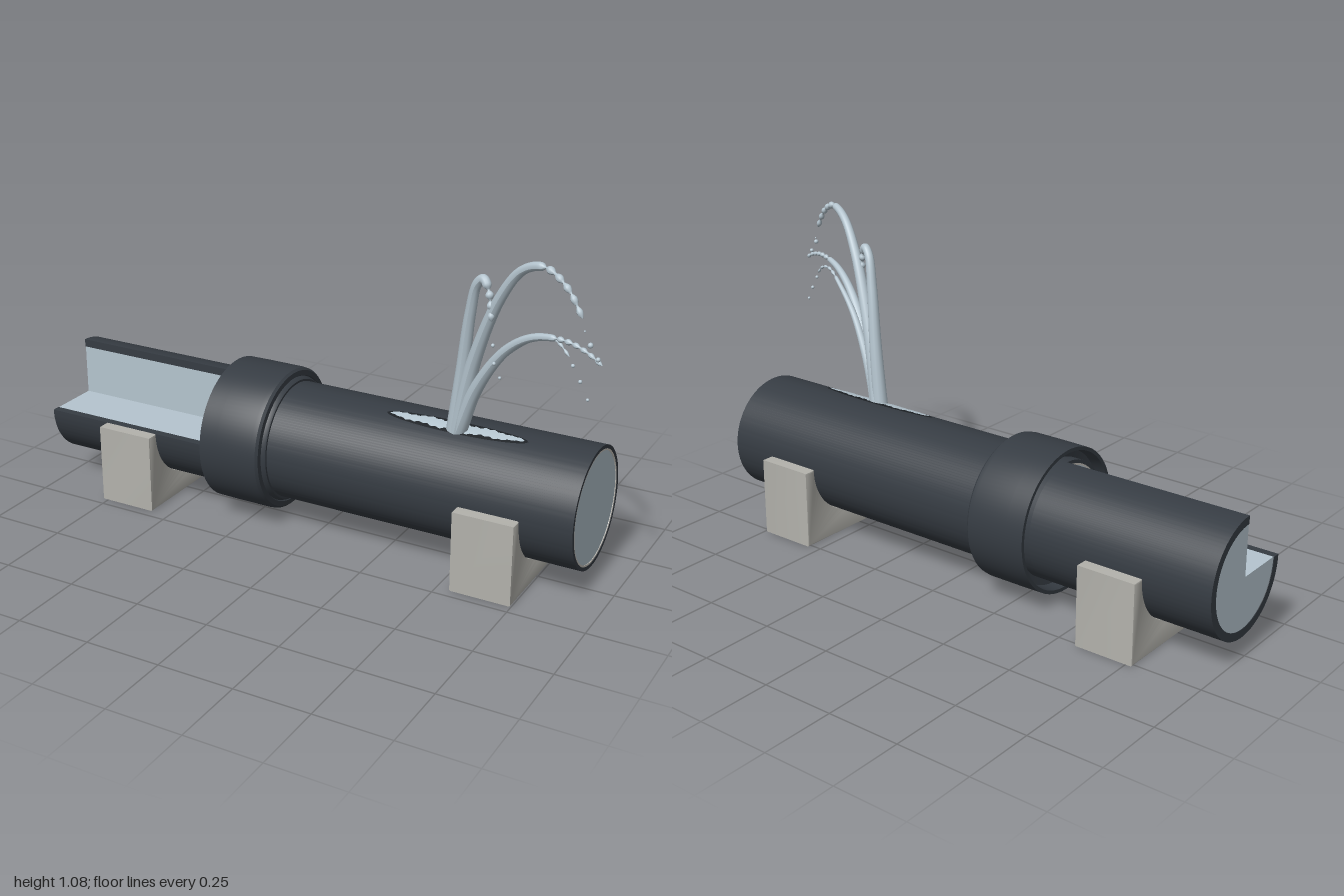
import * as THREE from 'three';
import { toCreasedNormals } from 'three/addons/utils/BufferGeometryUtils.js';

const CY = 0.27, CZ = -0.023, R = 0.197; // pipe axis and outer radius

function paint(name, color, side = THREE.FrontSide) {
  const m = new THREE.MeshStandardMaterial({ color, side });
  m.name = name;
  return m;
}

export function createModel() {
  const group = new THREE.Group();
  const dark = paint('dark pipe', 0x363c43);
  const black = paint('hole shadow', 0x1d2125, THREE.DoubleSide);
  const water = paint('water', 0xb5c5cf);
  const film = paint('water film', 0xb5c5cf, THREE.DoubleSide);
  const liner = paint('pale liner', 0xc6c3bc);
  const stone = paint('grey stone', 0xb4b3ad);

  const add = (name, geo, mat) => {
    const m = new THREE.Mesh(geo, mat);
    m.name = name;
    group.add(m);
    return m;
  };

  // Extrude a cross-section (u = -z, v = y) along x, centred on the pipe axis
  const alongX = (shape, x0, x1, bevel = 0) => {
    const g = new THREE.ExtrudeGeometry(shape, {
      depth: x1 - x0 - 2 * bevel, curveSegments: 72, bevelEnabled: bevel > 0,
      bevelSize: bevel, bevelThickness: bevel, bevelOffset: -bevel, bevelSegments: 2,
    });
    g.rotateY(Math.PI / 2).translate(x0 + bevel, CY, CZ);
    return toCreasedNormals(g, 0.5);
  };

  const ring = (outer, inner) => {
    const s = new THREE.Shape().absarc(0, 0, outer, 0, Math.PI * 2, false);
    if (inner) s.holes.push(new THREE.Path().absarc(0, 0, inner, 0, Math.PI * 2, true));
    return s;
  };

  // Three-quarter section with the upper front quadrant cut away
  const cutRing = (outer, inner) => {
    const s = new THREE.Shape().absarc(0, 0, outer, Math.PI, Math.PI * 2.5, false);
    if (inner) s.absarc(0, 0, inner, Math.PI * 2.5, Math.PI, true);
    else s.lineTo(0, 0);
    s.closePath();
    return s;
  };

  // Whole pipe and cutaway pipe, each filled with water
  add('pipe', alongX(ring(R, 0.185), -0.36, 0.915), dark);
  add('pipeLiner', alongX(ring(0.185, 0.179), -0.36, 0.914), liner);
  add('pipeWater', alongX(ring(0.179), -0.36, 0.912), water);
  add('cutPipe', alongX(cutRing(R, 0.17), -1, -0.36), dark);
  add('cutWater', alongX(cutRing(0.17), -0.998, -0.36), water);

  // Coupling collar: recessed mouth at one end, rounded shoulder and lip at the other
  const profile = [
    [0.19, -0.32], [0.222, -0.325], [0.228, -0.365], [0.24, -0.365], [0.241, -0.3], [0.241, -0.17],
    [0.239, -0.155], [0.232, -0.147], [0.215, -0.146], [0.212, -0.15], [0.208, -0.14], [0.204, -0.135], [0.19, -0.135],
  ].map(([r, x]) => new THREE.Vector2(r, x));
  const collar = new THREE.LatheGeometry(profile, 96).rotateZ(-Math.PI / 2).translate(0, CY, CZ);
  add('collar', toCreasedNormals(collar, 0.5), dark);

  // Saddle supports with a half-round cradle
  const saddle = new THREE.Shape();
  saddle.moveTo(-0.24, -CY);
  saddle.lineTo(0.24, -CY);
  saddle.lineTo(0.24, 0);
  saddle.lineTo(0.198, 0);
  saddle.absarc(0, 0, 0.198, 0, -Math.PI, true);
  saddle.lineTo(-0.24, 0);
  saddle.closePath();
  for (const x of [-0.772, 0.542]) add('support', alongX(saddle, x, x + 0.205, 0.005), stone);

  // Long split in the pipe wall: thin curved plates following the surface
  const patch = (halfLength, halfWidth, radius, jag) => {
    const g = new THREE.PlaneGeometry(2, 2, 60, 6);
    const p = g.attributes.position;
    for (let i = 0; i < p.count; i++) {
      const u = p.getX(i), v = -p.getY(i);
      const wave = 1 - jag * (0.5 + 0.5 * Math.sin(u * 31 + v * 2) * Math.cos(u * 17));
      const a = 0.25 + v * halfWidth / R * Math.sqrt(Math.max(0, 1 - u * u)) * wave;
      p.setXYZ(i, 0.465 + u * halfLength, CY + radius * Math.cos(a), CZ + radius * Math.sin(a));
    }
    g.computeVertexNormals();
    return g;
  };
  add('split', patch(0.24, 0.031, R + 0.001, 0), black);
  add('splitWater', patch(0.228, 0.027, R + 0.003, 0.5), film);

  // Water jets: tapering tubes whose tails break into beads
  const jet = (points, r0, r1, breakAt, beads) => {
    const curve = new THREE.CatmullRomCurve3(points.map(p => new THREE.Vector3(...p)));
    const n = 140, k = 12;
    const g = new THREE.TubeGeometry(curve, n, 1, k);
    const p = g.attributes.position, c = new THREE.Vector3(), q = new THREE.Vector3();
    for (let i = 0; i <= n; i++) {
      const t = i / n;
      let r = r0 + (r1 - r0) * Math.min(1, t / breakAt);
      if (t > breakAt) {
        const s = (t - breakAt) / (1 - breakAt);
        r *= (1 - 0.3 * s) * (0.15 + 0.85 * Math.abs(Math.cos(s * Math.PI * (beads - 0.5))));
      }
      curve.getPointAt(t, c);
      for (let j = 0; j <= k; j++) {
        const id = i * (k + 1) + j;
        q.fromBufferAttribute(p, id).sub(c).multiplyScalar(r).add(c);
        p.setXYZ(id, q.x, q.y, q.z);
      }
    }
    g.computeVertexNormals();
    add('jet', g, water);
  };
  jet([[0.47, 0.45, 0.03], [0.53, 0.7, 0.06], [0.63, 0.94, 0.11], [0.71, 1.045, 0.145],
    [0.79, 1.073, 0.178], [0.87, 1.035, 0.213], [0.925, 0.965, 0.235]], 0.028, 0.013, 0.78, 6);
  jet([[0.475, 0.45, 0.03], [0.55, 0.63, 0.07], [0.66, 0.785, 0.12], [0.76, 0.855, 0.16],
    [0.87, 0.876, 0.2], [0.94, 0.865, 0.226], [0.993, 0.842, 0.245]], 0.026, 0.01, 0.76, 7);
  jet([[0.46, 0.45, 0.03], [0.485, 0.65, 0.04], [0.513, 0.85, 0.06], [0.54, 0.955, 0.078],
    [0.565, 0.978, 0.088], [0.588, 0.945, 0.1], [0.605, 0.86, 0.113]], 0.026, 0.014, 0.84, 4);
  jet([[0.48, 0.45, 0.03], [0.54, 0.61, 0.05], [0.62, 0.735, 0.08], [0.71, 0.815, 0.112],
    [0.78, 0.855, 0.138], [0.83, 0.85, 0.155], [0.87, 0.82, 0.17]], 0.02, 0.007, 0.75, 6);

  // Loose droplets
  const drop = new THREE.SphereGeometry(1, 12, 8);
  const drops = [
    [0.96, 0.9, 0.258, 0.008], [0.985, 0.863, 0.259, 0.007], [0.885, 0.798, 0.178, 0.006],
    [0.91, 0.755, 0.18, 0.006], [0.938, 0.708, 0.188, 0.005], [0.615, 0.79, 0.12, 0.006],
    [0.625, 0.738, 0.13, 0.006], [0.645, 0.697, 0.13, 0.005], [0.93, 0.925, 0.225, 0.003],
  ];
  for (const [x, y, z, r] of drops) {
    const d = add('droplet', drop, water);
    d.position.set(x, y, z);
    d.scale.setScalar(r);
  }
  return group;
}
